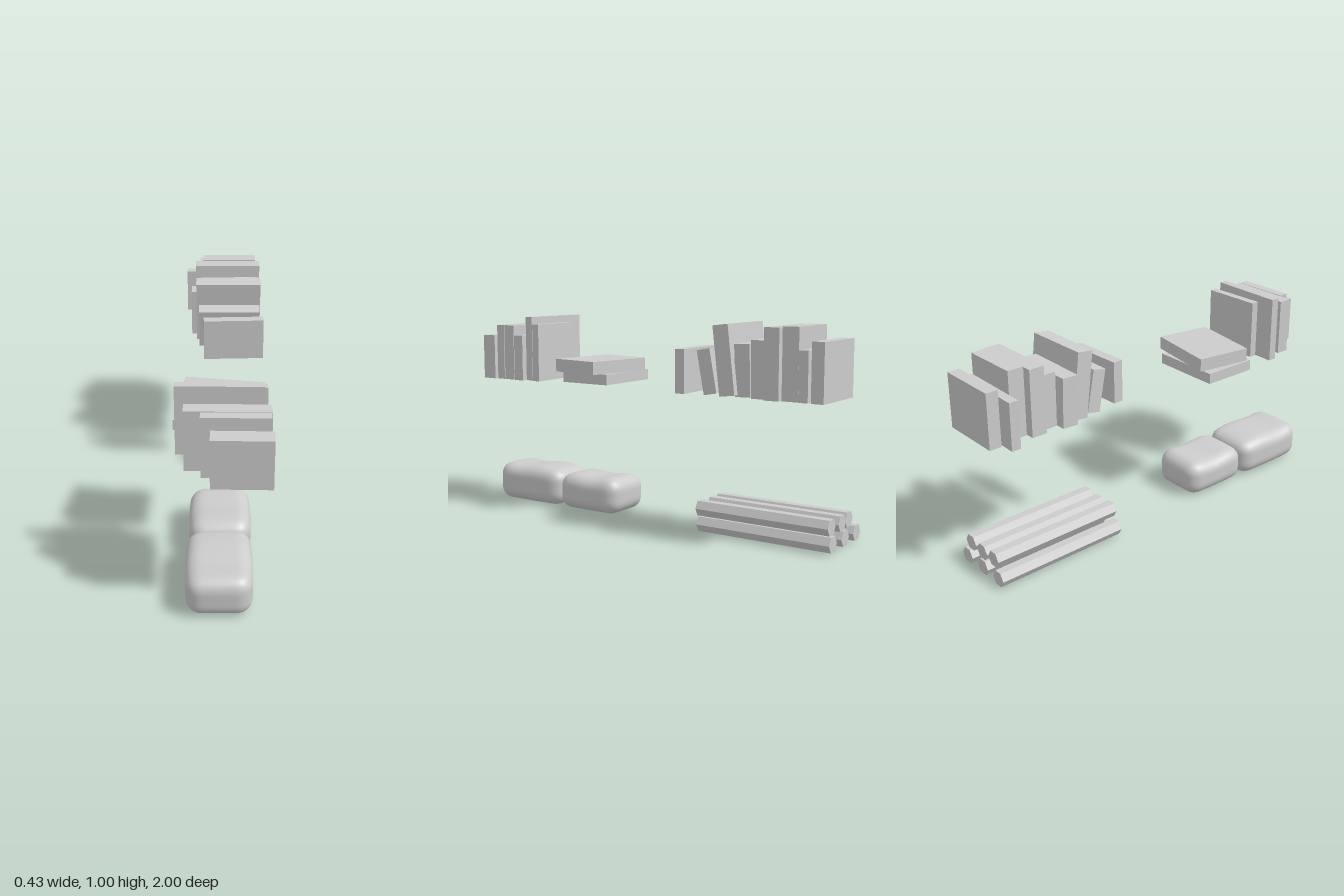
import * as THREE from 'three';
import { mergeVertices } from 'three/addons/utils/BufferGeometryUtils.js';

export function createModel() {
  const model = new THREE.Group();
  const grey = new THREE.MeshStandardMaterial({ color: 0xcccccc });
  grey.name = 'light grey';
  const shelfY = 0.672;

  function add(parent, name, geometry) {
    const mesh = new THREE.Mesh(geometry, grey);
    mesh.name = name;
    parent.add(mesh);
    return mesh;
  }

  function group(name) {
    const g = new THREE.Group();
    g.name = name;
    model.add(g);
    return g;
  }

  // Upright books: x0, x1, z at the back and front of the base, top height, lean, yaw
  function bookRow(name, rows) {
    const row = group(name);
    for (const [x0, x1, z0, z1, top, lean = 0, yaw = 0] of rows) {
      const thick = (z1 - z0) * Math.cos(lean);
      const high = (top - shelfY - thick * Math.sin(lean)) / Math.cos(lean);
      const geo = new THREE.BoxGeometry(x1 - x0, high, thick);
      geo.translate(0, high / 2, 0);
      const book = add(row, 'book', geo);
      book.rotation.set(lean, yaw, 0, 'YXZ');
      book.position.set((x0 + x1) / 2, shelfY + thick / 2 * Math.sin(lean), (z0 + z1) / 2);
    }
  }

  bookRow('frontBooks', [
    [-0.05, 0.21, 0.915, 0.995, 0.90, 0, -0.03],
    [-0.09, 0.20, 0.86, 0.908, 0.955, 0, -0.01],
    [-0.16, 0.20, 0.79, 0.855, 0.955, 0, -0.02],
    [-0.085, 0.21, 0.727, 0.783, 0.905, 0, 0.01],
    [-0.20, 0.18, 0.68, 0.722, 1.0, 0, -0.02],
    [-0.10, 0.195, 0.633, 0.672, 0.965, 0, 0.03],
  ]);

  bookRow('backBooks', [
    [-0.085, 0.215, -0.272, -0.222, 0.88, 0, 0.035],
    [-0.11, 0.20, -0.445, -0.375, 0.89, 0.19, 0],
    [-0.125, 0.205, -0.54, -0.46, 1.003, 0.12, 0.01],
    [-0.15, 0.175, -0.61, -0.53, 0.915, 0.03, -0.02],
    [-0.10, 0.19, -0.683, -0.615, 0.935, 0.01, 0.02],
    [-0.13, 0.21, -0.766, -0.69, 0.995, 0, 0],
    [-0.09, 0.19, -0.85, -0.77, 1.0, 0, 0.01],
    [-0.18, 0.195, -0.904, -0.858, 0.90, 0, -0.02],
    [-0.11, 0.195, -0.975, -0.915, 0.94, 0, 0],
  ]);

  // Two books lying flat
  const stack = group('stackedBooks');
  const lower = add(stack, 'lowerBook', new THREE.BoxGeometry(0.355, 0.053, 0.28));
  lower.position.set(-0.04, shelfY + 0.0265, 0.372);
  lower.rotation.y = -0.01;
  const upper = add(stack, 'upperBook', new THREE.BoxGeometry(0.365, 0.065, 0.28));
  upper.position.set(-0.008, 0.758, 0.382);
  upper.rotation.y = -0.16;

  // Pile of six-sided rods in two layers
  const pile = group('rodPile');
  const rods = [
    [-0.14, 0.044, -0.655], [-0.014, 0.044, -0.655], [0.115, 0.044, -0.655],
    [-0.085, 0.115, -0.64], [0.0, 0.115, -0.645], [0.1, 0.115, -0.64],
  ];
  const rodGeo = new THREE.CylinderGeometry(0.041, 0.041, 0.688, 6).toNonIndexed();
  rodGeo.rotateX(Math.PI / 2);
  rodGeo.rotateZ(Math.PI / 6);
  // turn a corner of the section towards each side
  rodGeo.computeBoundingBox();
  if (rodGeo.boundingBox.max.x < 0.04) rodGeo.rotateZ(Math.PI / 6);
  rodGeo.computeVertexNormals();
  for (const p of rods) add(pile, 'rod', rodGeo).position.set(...p);

  // Soft sack: a rounded block with bulging sides and a gently uneven top
  function sack(name, x0, x1, high, z0, z1, phase) {
    const half = new THREE.Vector3((x1 - x0) / 2, high / 2, (z1 - z0) / 2);
    const radius = 0.066;
    const inner = half.clone().subScalar(radius);
    let geo = new THREE.BoxGeometry(half.x * 2, high, half.z * 2, 16, 14, 20);
    geo.deleteAttribute('uv');
    geo.deleteAttribute('normal');
    geo = mergeVertices(geo);
    const pos = geo.attributes.position;
    const v = new THREE.Vector3(), c = new THREE.Vector3();
    for (let i = 0; i < pos.count; i++) {
      v.fromBufferAttribute(pos, i);
      c.copy(v).clamp(inner.clone().negate(), inner);
      v.sub(c).setLength(radius).add(c);
      const u = v.x / half.x, w = v.z / half.z, t = v.y / half.y;
      if (t > 0) v.y -= t * (0.004 + 0.004 * Math.sin(5 * w + phase) - 0.004 * u + 0.004 * u * u);
      v.x *= 1 - 0.06 * w * w;
      v.z *= 1 - 0.02 * u * u;
      pos.setXYZ(i, v.x, v.y, v.z);
    }
    geo.computeVertexNormals();
    add(sacks, name, geo).position.set((x0 + x1) / 2, high / 2 + 0.002, (z0 + z1) / 2);
  }
  const sacks = group('sacks');
  sack('frontSack', -0.166, 0.138, 0.196, 0.565, 1.0, 0);
  sack('backSack', -0.155, 0.14, 0.184, 0.195, 0.572, 2);

  return model;
}
